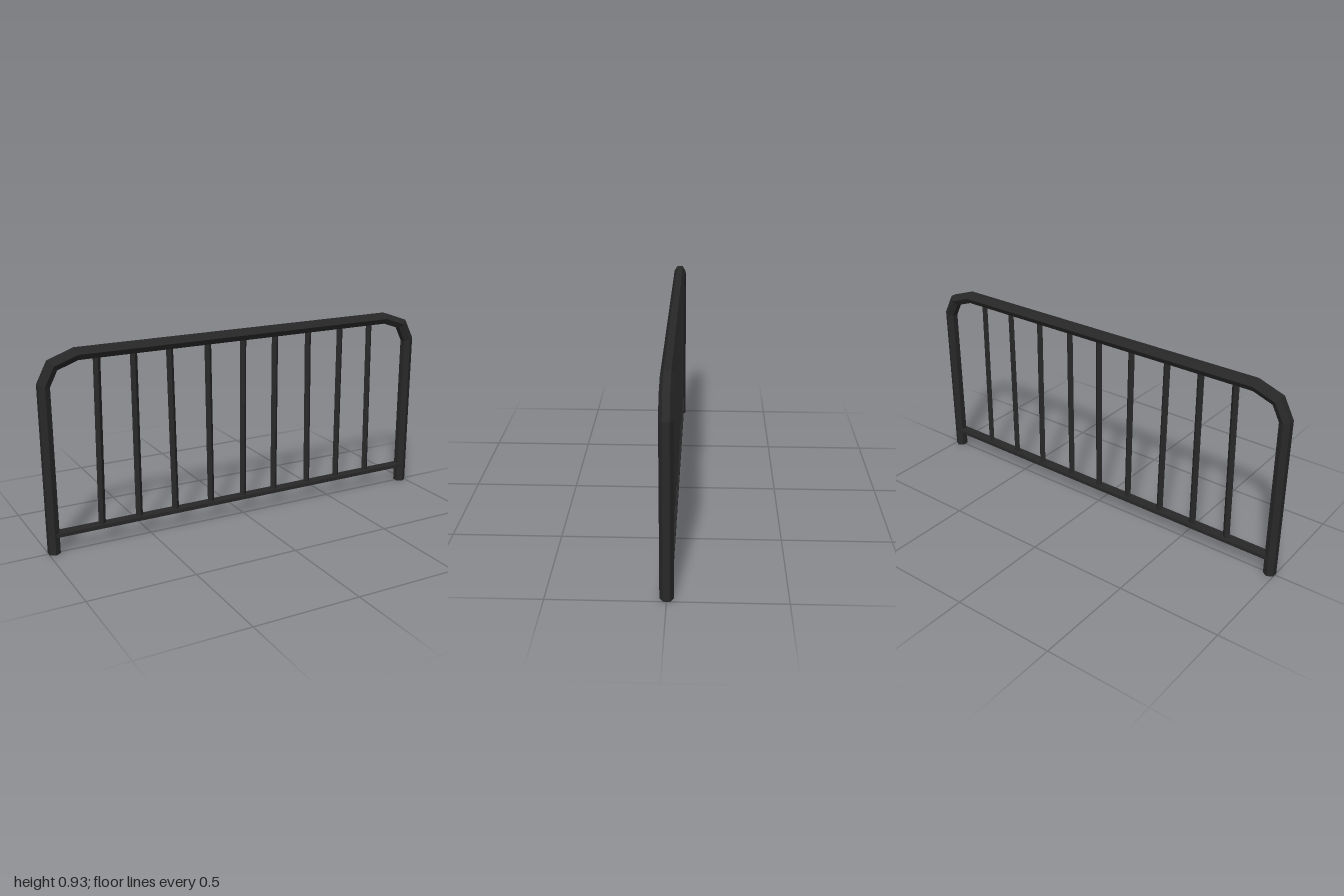
import * as THREE from 'three';

const black = new THREE.MeshStandardMaterial({ color: 0x282828 });
black.name = 'blackSteel';

// Split the corners so every face is shaded flat
function faceted(geometry) {
  const g = geometry.index ? geometry.toNonIndexed() : geometry;
  g.computeVertexNormals();
  return g;
}

function addPart(group, geometry, name) {
  const mesh = new THREE.Mesh(faceted(geometry), black);
  mesh.name = name;
  group.add(mesh);
  return mesh;
}

// Six-sided bar swept along a path in the xy plane, with mitred joints and capped ends
function hexSweep(path, radius) {
  const sides = 6, positions = [], index = [];
  path.forEach((p, i) => {
    const a = path[Math.max(i - 1, 0)], b = path[Math.min(i + 1, path.length - 1)];
    const before = (i > 0 ? p.clone().sub(a) : b.clone().sub(p)).normalize();
    const after = (i < path.length - 1 ? b.clone().sub(p) : before.clone()).normalize();
    const t = before.clone().add(after).normalize();
    const stretch = 1 / t.dot(before);
    for (let k = 0; k < sides; k++) {
      const angle = (k + 0.5) * Math.PI * 2 / sides;
      const out = radius * Math.cos(angle) * stretch;
      positions.push(p.x - t.y * out, p.y + t.x * out, radius * Math.sin(angle));
    }
  });
  for (let i = 0; i < path.length - 1; i++) {
    for (let k = 0; k < sides; k++) {
      const a = i * sides + k, b = i * sides + (k + 1) % sides;
      index.push(a, b, b + sides, a, b + sides, a + sides);
    }
  }
  const last = (path.length - 1) * sides;
  for (let k = 1; k < sides - 1; k++) {
    index.push(0, k + 1, k, last, last + k, last + k + 1);
  }
  const g = new THREE.BufferGeometry();
  g.setAttribute('position', new THREE.Float32BufferAttribute(positions, 3));
  g.setIndex(index);
  return g;
}

export function createModel() {
  const group = new THREE.Group();
  group.name = 'railing';

  // Outer frame: two posts and a top rail joined by bevelled bends
  const half = [[0.974, 0], [0.974, 0.785], [0.93, 0.87], [0.82, 0.909]];
  const path = [
    ...half.map(([x, y]) => new THREE.Vector2(-x, y)),
    ...half.slice().reverse().map(([x, y]) => new THREE.Vector2(x, y)),
  ];
  addPart(group, hexSweep(path, 0.03), 'frame');

  // Flat bottom rail
  addPart(group, new THREE.BoxGeometry(1.93, 0.018, 0.05), 'bottomRail').position.y = 0.09;

  // Square bars set cornerwise, some leaning slightly: [bottom x, top x]
  const bars = [
    [-0.74, -0.728], [-0.555, -0.555], [-0.368, -0.38], [-0.178, -0.186], [0, 0],
    [0.175, 0.175], [0.372, 0.362], [0.55, 0.55], [0.737, 0.727],
  ];
  const low = 0.09, high = 0.9;
  bars.forEach(([bottom, top], i) => {
    const length = Math.hypot(top - bottom, high - low);
    const bar = addPart(group, new THREE.CylinderGeometry(0.0175, 0.0175, length, 4), 'bar' + (i + 1));
    bar.position.set((bottom + top) / 2, (low + high) / 2, 0);
    bar.rotation.z = -Math.atan2(top - bottom, high - low);
  });

  return group;
}
